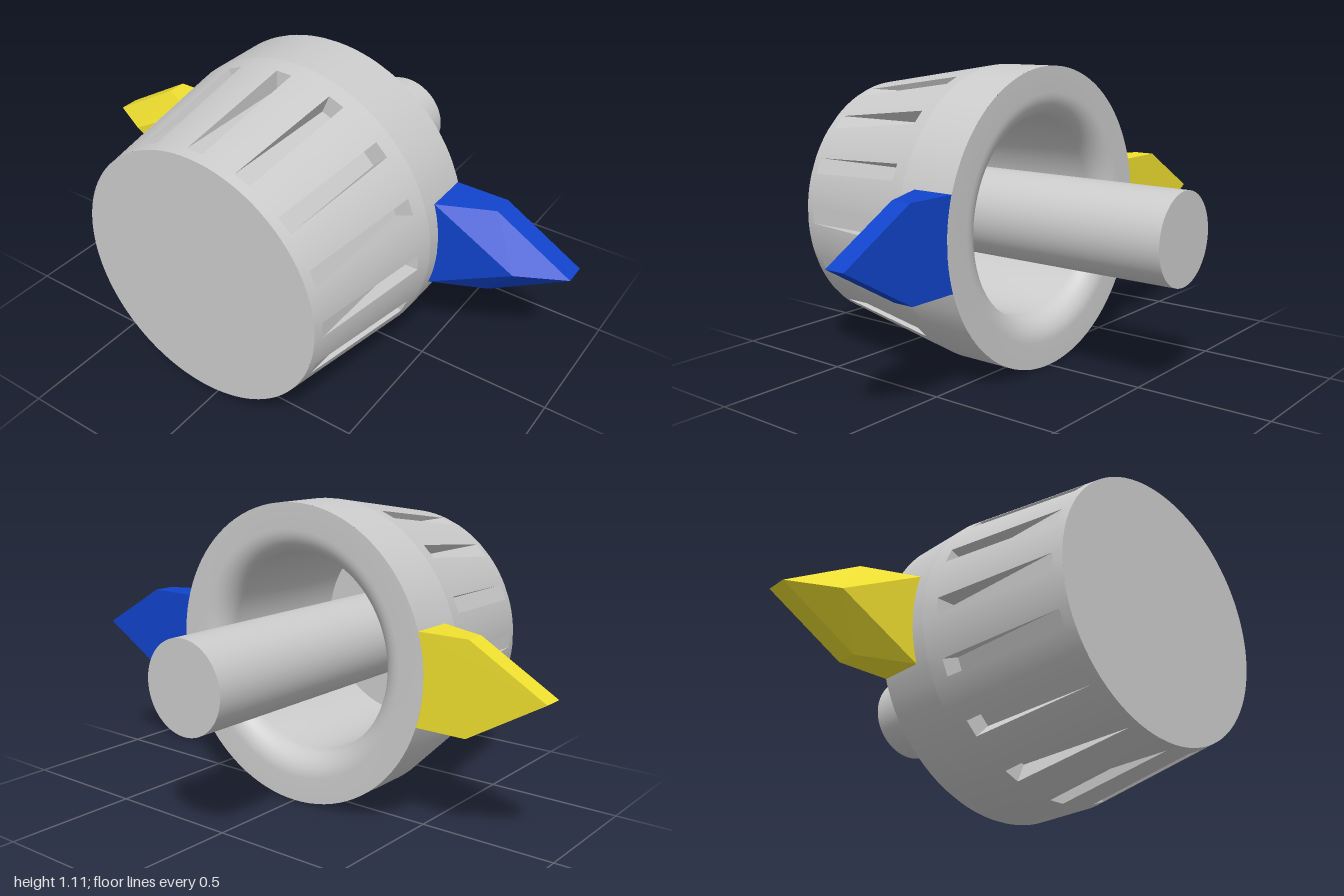
import * as THREE from 'three';
import { toCreasedNormals } from 'three/addons/utils/BufferGeometryUtils.js';
import { ConvexGeometry } from 'three/addons/geometries/ConvexGeometry.js';

const R = 0.555;        // widest radius of the body
const GROOVES = 16;
const HALF_W = 0.03;    // half width of a groove
const FLOOR = 0.475;    // groove floor, parallel to the axis

// One closed cross-section around the z axis; floor is the groove depth radius
function ring(r, z, floor) {
  const points = [];
  const half = Math.asin(HALF_W / r);
  const pitch = (Math.PI * 2) / GROOVES;
  const steps = 5;
  for (let k = 0; k < GROOVES; k++) {
    const mid = k * pitch;
    const polar = (radius, a) =>
      points.push(new THREE.Vector3(radius * Math.cos(a), radius * Math.sin(a), z));
    const inner = floor ? Math.hypot(floor, HALF_W) : r;
    const innerHalf = Math.asin(HALF_W / inner);
    polar(r, mid - half);
    polar(inner, mid - innerHalf);
    polar(inner, mid + innerHalf);
    // Rib between this groove and the next
    for (let i = 0; i < steps; i++) polar(r, mid + half + ((pitch - 2 * half) * i) / steps);
  }
  return points;
}

// Skin a series of rings with triangles, leaving out empty ones
function loft(rings, crease) {
  const positions = [];
  const tri = (a, b, c) => {
    const area = b.clone().sub(a).cross(c.clone().sub(a)).length();
    if (area > 1e-9) for (const p of [a, b, c]) positions.push(p.x, p.y, p.z);
  };
  for (let j = 0; j < rings.length - 1; j++) {
    const a = rings[j], b = rings[j + 1];
    for (let i = 0; i < a.length; i++) {
      const n = (i + 1) % a.length;
      tri(a[i], a[n], b[n]);
      tri(a[i], b[n], b[i]);
    }
  }
  const geometry = new THREE.BufferGeometry();
  geometry.setAttribute('position', new THREE.Float32BufferAttribute(positions, 3));
  return toCreasedNormals(geometry, crease);
}

export function createModel() {
  const group = new THREE.Group();
  const grey = new THREE.MeshStandardMaterial({ color: 0xcccccc });
  const add = (name, geometry, material = grey) => {
    const mesh = new THREE.Mesh(geometry, material);
    mesh.name = name;
    group.add(mesh);
    return mesh;
  };

  // Straight band, then a tapering grip with grooves that run out at the front
  const taper = (z) => R - (0.085 * (z - 0.11)) / 0.555;
  add('body', loft([
    ring(R, -0.11),
    ring(R, 0.11),
    ring(taper(0.17), 0.17),
    ring(taper(0.17), 0.17, FLOOR),
    ring(taper(0.628), 0.628),
    ring(taper(0.665), 0.665),
  ], 0.14));

  // Flat front face
  add('frontFace', new THREE.CircleGeometry(0.47, 128)).position.z = 0.665;

  // Hollow back with a rounded lip and a flat rim
  const profile = [[0, 0.58], [0.37, 0.58], [0.37, 0.3]];
  for (let i = 0; i <= 10; i++) {
    const a = (i / 10) * Math.PI / 2;
    profile.push([0.46 - 0.09 * Math.cos(a), -0.02 - 0.09 * Math.sin(a)]);
  }
  profile.push([R, -0.11]);
  const bore = new THREE.LatheGeometry(profile.map(([r, z]) => new THREE.Vector2(r, z)), 96);
  bore.rotateX(Math.PI / 2);
  add('hollowBack', toCreasedNormals(bore, 0.5));

  // Shaft running through the hollow and out of the back
  const shaft = new THREE.CylinderGeometry(0.165, 0.165, 1.255, 64).rotateX(Math.PI / 2);
  add('shaft', shaft).position.z = -0.0375;

  // Pointed side wings with a flat front triangle and sloping sides
  for (const [name, side, color] of [['leftWing', 1, 0x1144cc], ['rightWing', -1, 0xf0e030]]) {
    const points = [[1, 0, -0.109], [1, 0, -0.03], [0.835, 0, 0.055]];
    for (const y of [-0.165, 0.165]) {
      points.push([0.53, y, -0.109], [0.72, y, -0.109], [0.72, y, -0.03], [0.53, y, 0.055]);
    }
    const corners = points.map(([x, y, z]) => new THREE.Vector3(x * side, y, z));
    add(name, new ConvexGeometry(corners), new THREE.MeshStandardMaterial({ color, flatShading: true }));
  }

  group.position.y = R;
  const model = new THREE.Group();
  model.name = 'knob';
  model.add(group);
  return model;
}
